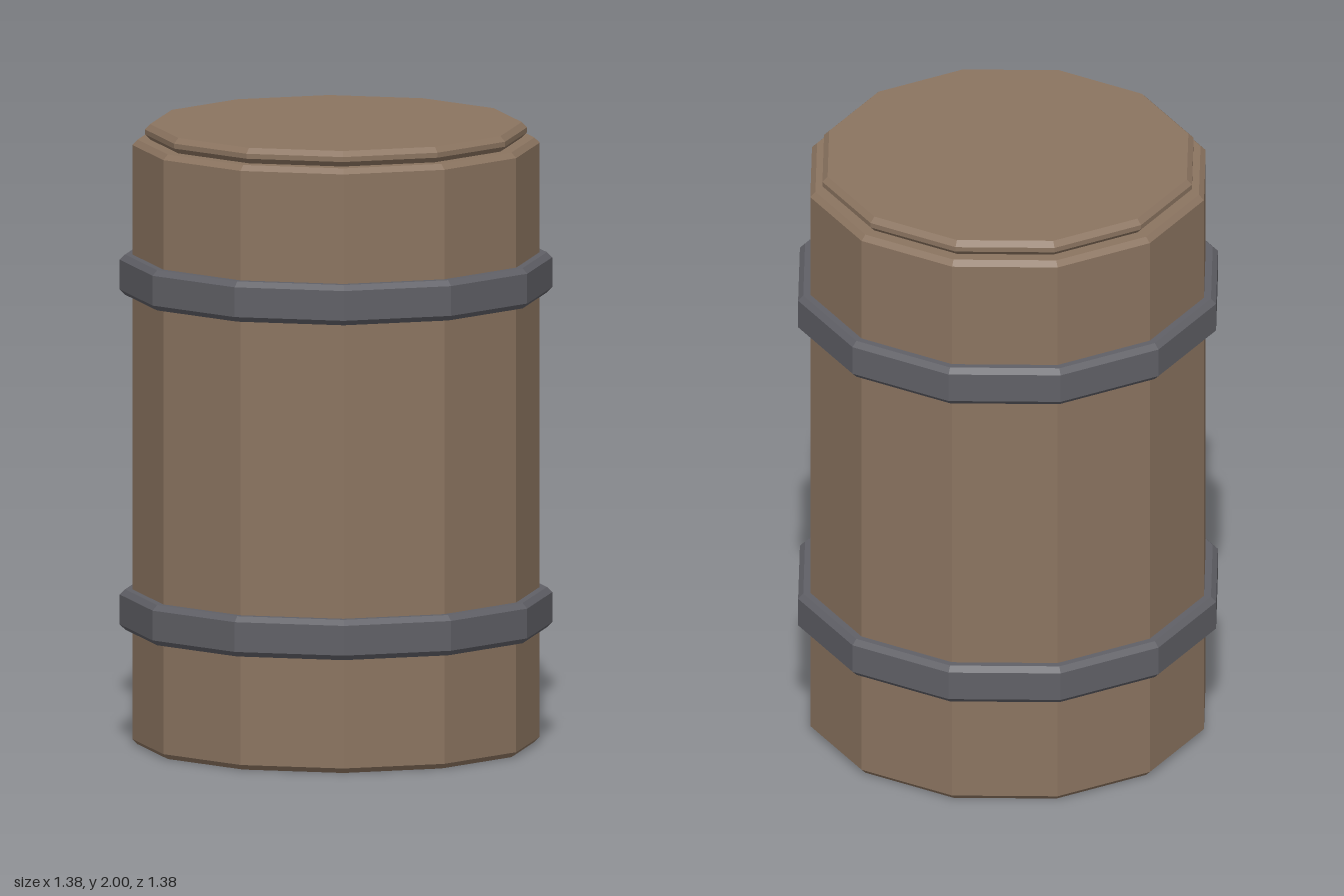
import * as THREE from 'three';

const SIDES = 12;
const BEVEL = 0.017;

const wood = new THREE.MeshStandardMaterial({ color: 0x8b7460, flatShading: true });
const iron = new THREE.MeshStandardMaterial({ color: 0x606066, flatShading: true });

// Twelve-sided ring or drum with bevelled rims; inner = 0 closes it with caps
function bevelledDrum(name, material, radius, bottom, top, inner = 0) {
  const profile = [
    [inner, bottom],
    [radius - BEVEL, bottom],
    [radius, bottom + BEVEL],
    [radius, top - BEVEL],
    [radius - BEVEL, top],
    [inner, top],
  ].map(([r, y]) => new THREE.Vector2(r, y));
  const mesh = new THREE.Mesh(new THREE.LatheGeometry(profile, SIDES), material);
  mesh.name = name;
  return mesh;
}

export function createModel() {
  const barrel = new THREE.Group();
  barrel.name = 'barrel';

  // Wooden body and the slightly smaller lid
  barrel.add(bevelledDrum('body', wood, 0.65, 0, 1.95));
  barrel.add(bevelledDrum('lid', wood, 0.61, 1.95, 2));

  // Iron hoops, with their inner edge sunk into the body
  barrel.add(bevelledDrum('lowerHoop', iron, 0.69, 0.37, 0.5, 0.63));
  barrel.add(bevelledDrum('upperHoop', iron, 0.69, 1.45, 1.58, 0.63));

  return barrel;
}
